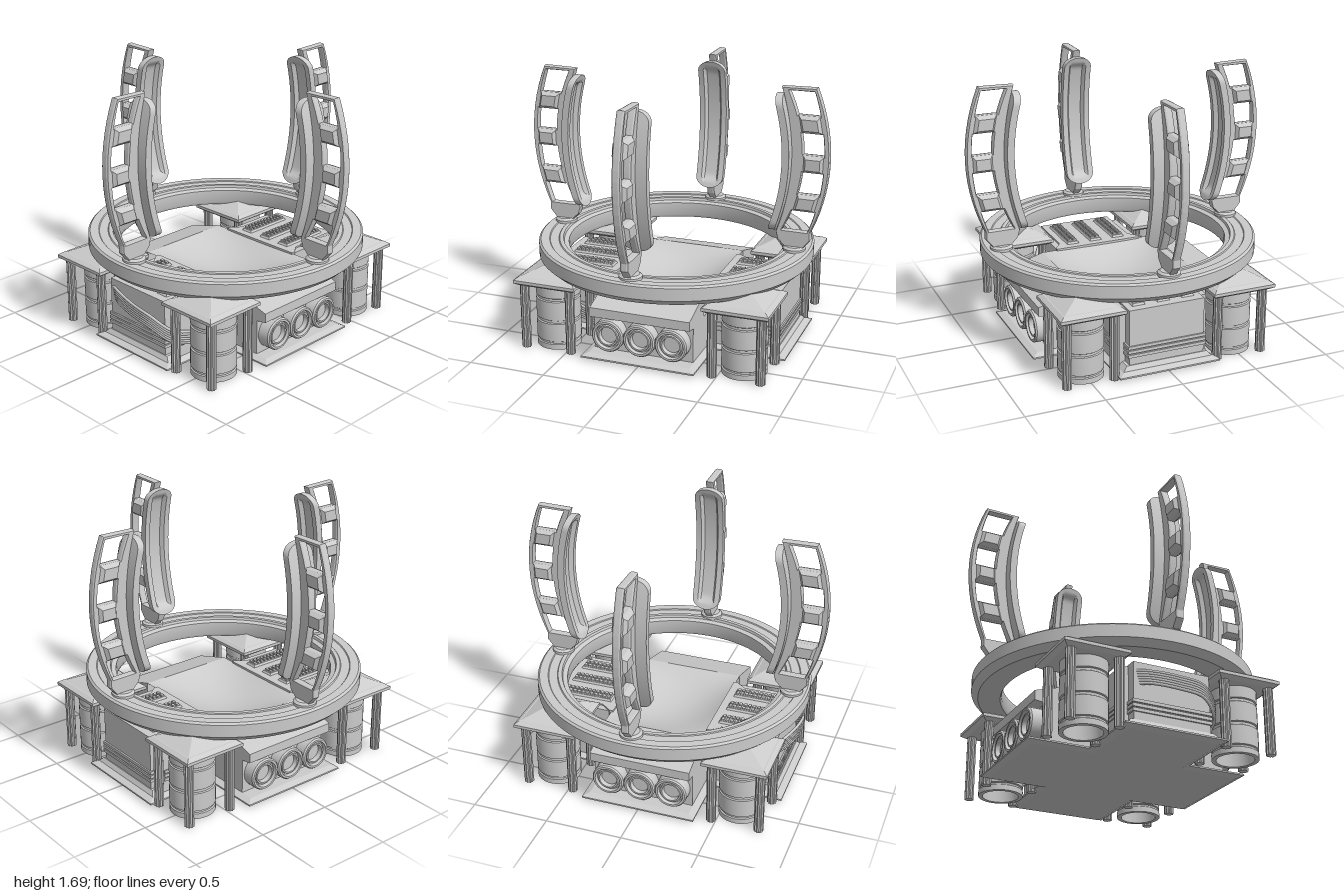
import * as THREE from 'three';
import { toCreasedNormals } from 'three/addons/utils/BufferGeometryUtils.js';

const material = new THREE.MeshStandardMaterial({ color: 0xcccccc });
const V = (x, y, z) => new THREE.Vector3(x, y, z);

function add(parent, name, geometry, x = 0, y = 0, z = 0) {
  const mesh = new THREE.Mesh(geometry, material);
  mesh.name = name;
  mesh.position.set(x, y, z);
  parent.add(mesh);
  return mesh;
}

const box = (w, h, d) => new THREE.BoxGeometry(w, h, d);

// Box standing on y = 0 whose top is scaled in x and z
function frustum(w, d, h, topW, topD) {
  const g = box(w, h, d).translate(0, h / 2, 0).toNonIndexed();
  const p = g.attributes.position;
  for (let i = 0; i < p.count; i++) {
    if (p.getY(i) > h / 2) p.setXYZ(i, p.getX(i) * topW / w, h, p.getZ(i) * topD / d);
  }
  g.computeVertexNormals();
  return g;
}

function lathe(points, segments) {
  const g = new THREE.LatheGeometry(points.map(([r, y]) => new THREE.Vector2(r, y)), segments);
  return toCreasedNormals(g, 0.6);
}

function polygon(points) {
  return new THREE.Shape(points.map(([x, y]) => new THREE.Vector2(x, y)));
}

// Closed cross-sections joined from bottom to top
function loft(rows) {
  const n = rows[0].length, index = [];
  for (let i = 0; i < rows.length - 1; i++) {
    for (let j = 0; j < n; j++) {
      const a = i * n + j, b = i * n + (j + 1) % n;
      index.push(a, b, a + n, b, b + n, a + n);
    }
  }
  const g = new THREE.BufferGeometry().setFromPoints(rows.flat());
  g.setIndex(index);
  return toCreasedNormals(g, 0.5);
}

// Curves of the upright arms, as x at a given height
const bow = (mid, bend) => y => mid - bend * (y - 1.24) ** 2;
const outerEdge = bow(1.0, 0.46), innerEdge = bow(0.757, 0.36), padFace = bow(0.718, 0.4);
const windowOuter = bow(0.965, 0.4), windowInner = bow(0.834, 0.55);

function edge(curve, y0, y1, n) {
  return Array.from({ length: n + 1 }, (_, i) => {
    const y = y0 + (y1 - y0) * i / n;
    return [curve(y), y];
  });
}

function createArm() {
  const arm = new THREE.Group();
  arm.name = 'uprightArm';

  // Thin curved frame with four windows and a tapered foot
  const frame = polygon([
    [0.73, 0.655], [0.85, 0.655], [0.895, 0.71],
    ...edge(outerEdge, 0.76, 1.69, 14), ...edge(innerEdge, 1.685, 0.75, 14), [0.685, 0.7],
  ]);
  for (const [lo, hi] of [[0.765, 0.9], [1.01, 1.155], [1.265, 1.405], [1.515, 1.665]]) {
    frame.holes.push(polygon([...edge(windowOuter, lo, hi, 4), ...edge(windowInner, hi, lo, 4)]));
  }
  add(arm, 'armFrame', new THREE.ExtrudeGeometry(frame, {
    depth: 0.03, bevelEnabled: true, bevelSize: 0.005, bevelThickness: 0.01, bevelOffset: -0.005, bevelSegments: 1,
  }).translate(0, 0, -0.015));

  // Raised studs between the windows, leaning along the curve
  for (const y of [0.955, 1.21, 1.46]) {
    const shear = new THREE.Matrix4().makeShear(0, 0, -0.9 * (y - 1.24), 0, 0, 0);
    const width = windowOuter(y) - windowInner(y);
    for (const s of [1, -1]) {
      const stud = frustum(width, 0.11, 0.028, width * 0.7, 0.07).rotateX(s * Math.PI / 2).applyMatrix4(shear);
      add(arm, 'armStud', stud, (windowOuter(y) + windowInner(y)) / 2, y, s * 0.02);
    }
  }

  // Curved pad with round ends and a long groove
  const rows = [], y0 = 0.76, y1 = 1.64, n = 40;
  for (let i = 0; i <= n; i++) {
    const y = (y0 + y1) / 2 - (y1 - y0) / 2 * Math.cos(Math.PI * i / n);
    const end = Math.min(y - y0, y1 - y);
    const w = 0.095 * Math.sqrt(Math.max(0, 1 - Math.max(0, 1 - end / 0.07) ** 2));
    const t = end < 1e-6 ? 0 : 0.045;
    const g = 0.028 * THREE.MathUtils.clamp((end - 0.04) / 0.03, 0, 1);
    const section = [[t, w], [t, -w], [0, -w], [0, -0.62 * w], [g, -0.45 * w], [g, 0.45 * w], [0, 0.62 * w], [0, w]];
    rows.push(section.map(([x, z]) => V(padFace(y) + x, y, z)));
  }
  add(arm, 'armPad', loft(rows));

  // Swivel mount on the ring
  add(arm, 'armMount', lathe([[0, 0], [0.072, 0], [0.072, 0.018], [0.055, 0.03], [0, 0.03]], 24), 0.79, 0.632, 0);
  add(arm, 'armNeck', box(0.12, 0.05, 0.045), 0.79, 0.675, 0);
  return arm;
}

// Fluted round post
function flutedPost(radius, height) {
  const outline = Array.from({ length: 20 }, (_, i) => {
    const a = i * Math.PI / 10, r = radius * (i % 2 ? 0.82 : 1);
    return [r * Math.cos(a), r * Math.sin(a)];
  });
  return new THREE.ExtrudeGeometry(polygon(outline), { depth: height, bevelEnabled: false }).rotateX(-Math.PI / 2);
}

function createTower() {
  const tower = new THREE.Group();
  tower.name = 'cornerTower';
  add(tower, 'towerDrum', lathe([
    [0, 0.1], [0.115, 0.1], [0.115, 0], [0.143, 0], [0.143, 0.035], [0.135, 0.04], [0.135, 0.05], [0.143, 0.055], [0.143, 0.175],
    [0.135, 0.18], [0.135, 0.195], [0.143, 0.2], [0.143, 0.325], [0.135, 0.33], [0.135, 0.345], [0.143, 0.35],
    [0.143, 0.45], [0, 0.45],
  ], 32), 0.012, 0, -0.008);
  const post = flutedPost(0.031, 0.44);
  for (const x of [-0.148, 0.158]) {
    for (const z of [-0.155, 0.155]) add(tower, 'towerPost', post, x, 0, z);
  }
  add(tower, 'roofUnderside', frustum(0.36, 0.36, 0.02, 0.42, 0.42), 0, 0.425, 0);
  add(tower, 'roofEave', frustum(0.42, 0.42, 0.02, 0.42, 0.42), 0, 0.445, 0);
  add(tower, 'roofBevel', frustum(0.42, 0.42, 0.018, 0.365, 0.365), 0, 0.465, 0);
  add(tower, 'roofPyramid', frustum(0.35, 0.35, 0.08, 0.002, 0.002), 0, 0.483, 0);
  return tower;
}

// Front or back console block, facing +z
function createConsole() {
  const block = new THREE.Group();
  block.name = 'console';
  add(block, 'consoleSkirt', frustum(0.62, 0.5, 0.04, 0.54, 0.45), 0, 0.03, 0.555);
  const plan = polygon([
    [-0.25, -0.775], [0.25, -0.775], [0.25, -0.41], [0.3, -0.345], [0.3, -0.32], [-0.3, -0.32], [-0.3, -0.345], [-0.25, -0.41],
  ]);
  add(block, 'consoleBody', new THREE.ExtrudeGeometry(plan, { depth: 0.39, bevelEnabled: false })
    .rotateX(-Math.PI / 2).translate(0, 0.04, 0));
  add(block, 'consoleFlank', box(0.59, 0.38, 0.36), 0, 0.23, 0.53);
  for (const y of [0.13, 0.158, 0.186]) {
    add(block, 'consoleBand', box(0.52, 0.02, 0.46), 0, y, 0.555);
    add(block, 'flankBand', box(0.605, 0.02, 0.35), 0, y, 0.53);
  }
  for (const x of [-0.165, 0, 0.165]) {
    add(block, 'keyStrip', frustum(0.085, 0.35, 0.014, 0.07, 0.335), x, 0.43, 0.545);
    for (let i = 0; i < 11; i++) {
      for (const s of [-1, 1]) add(block, 'key', box(0.026, 0.016, 0.019), x + s * 0.018, 0.448, 0.395 + i * 0.03);
    }
  }
  return block;
}

// Side block with three round ports, facing +x
function createPortBlock() {
  const block = new THREE.Group();
  block.name = 'portBlock';
  const profile = polygon([[0.4, 0.03], [0.6, 0.03], [0.6, 0.27], [0.67, 0.28], [0.67, 0.34], [0.4, 0.42]]);
  add(block, 'portHousing', new THREE.ExtrudeGeometry(profile, { depth: 0.66, bevelEnabled: false }).translate(0, 0, -0.33));
  const port = lathe([
    [0.105, 0], [0.105, 0.08], [0.097, 0.09], [0.084, 0.09], [0.08, 0.065], [0.072, 0.065], [0.068, 0.08],
    [0.058, 0.08], [0.054, 0.05], [0, 0.05],
  ], 32).rotateZ(-Math.PI / 2);
  for (const z of [-0.21, 0, 0.21]) add(block, 'port', port, 0.595, 0.165, z);
  return block;
}

export function createModel() {
  const model = new THREE.Group();
  model.name = 'ringPlatform';

  // Cross-shaped floor plate
  const ax = 0.335, az = 0.375, bx = 0.725, bz = 0.84;
  const cross = polygon([
    [bx, -az], [bx, az], [ax, az], [ax, bz], [-ax, bz], [-ax, az], [-bx, az], [-bx, -az], [-ax, -az], [-ax, -bz], [ax, -bz], [ax, -az],
  ]);
  add(model, 'floorPlate', new THREE.ExtrudeGeometry(cross, {
    depth: 0.01, bevelEnabled: true, bevelSize: 0.04, bevelThickness: 0.016, bevelOffset: -0.04, bevelSegments: 1,
  }).rotateX(-Math.PI / 2).translate(0, 0.016, 0));

  // Central core with a dished top
  add(model, 'core', box(0.8, 0.24, 0.66), 0, 0.15, 0);
  const dish = new THREE.PlaneGeometry(0.8, 0.66, 24, 24).rotateX(-Math.PI / 2);
  const p = dish.attributes.position;
  for (let i = 0; i < p.count; i++) {
    p.setY(i, 0.42 - 0.1 * (1 - (p.getX(i) / 0.4) ** 2) * (1 - (p.getZ(i) / 0.33) ** 2));
  }
  dish.computeVertexNormals();
  add(model, 'dishedTop', dish);

  for (const turn of [0, Math.PI]) {
    const frontBlock = createConsole(), sideBlock = createPortBlock();
    frontBlock.rotation.y = sideBlock.rotation.y = turn;
    model.add(frontBlock, sideBlock);
  }

  for (const x of [-0.5, 0.5]) {
    for (const z of [-0.625, 0.625]) {
      const tower = createTower();
      tower.position.set(x, 0, z);
      model.add(tower);
    }
  }

  // Bundle of cables sweeping round the front console
  for (let i = 0; i < 6; i++) {
    const d = i * 0.015;
    const path = new THREE.CatmullRomCurve3([
      V(-0.23 + d * 0.3, 0.375 - d, 0.77), V(-0.15, 0.375 - d, 0.8), V(0.02, 0.36 - d, 0.835), V(0.18, 0.335 - d, 0.835),
      V(0.29, 0.25 - d, 0.76), V(0.32, 0.195 - d, 0.6), V(0.36, 0.165 - d, 0.44), V(0.42, 0.125 - d, 0.32),
    ]);
    add(model, 'cable', new THREE.TubeGeometry(path, 40, 0.01, 8));
  }

  // Large ring with stepped top
  add(model, 'ring', lathe([
    [0.71, 0.505], [0.85, 0.505], [0.893, 0.545], [0.893, 0.625], [0.88, 0.637], [0.825, 0.637], [0.82, 0.631], [0.765, 0.631],
    [0.76, 0.637], [0.735, 0.637], [0.73, 0.62], [0.7, 0.61], [0.7, 0.525], [0.71, 0.505],
  ], 96));

  for (let k = 0; k < 4; k++) {
    const arm = createArm();
    arm.rotation.y = k * Math.PI / 2;
    model.add(arm);
  }
  return model;
}
